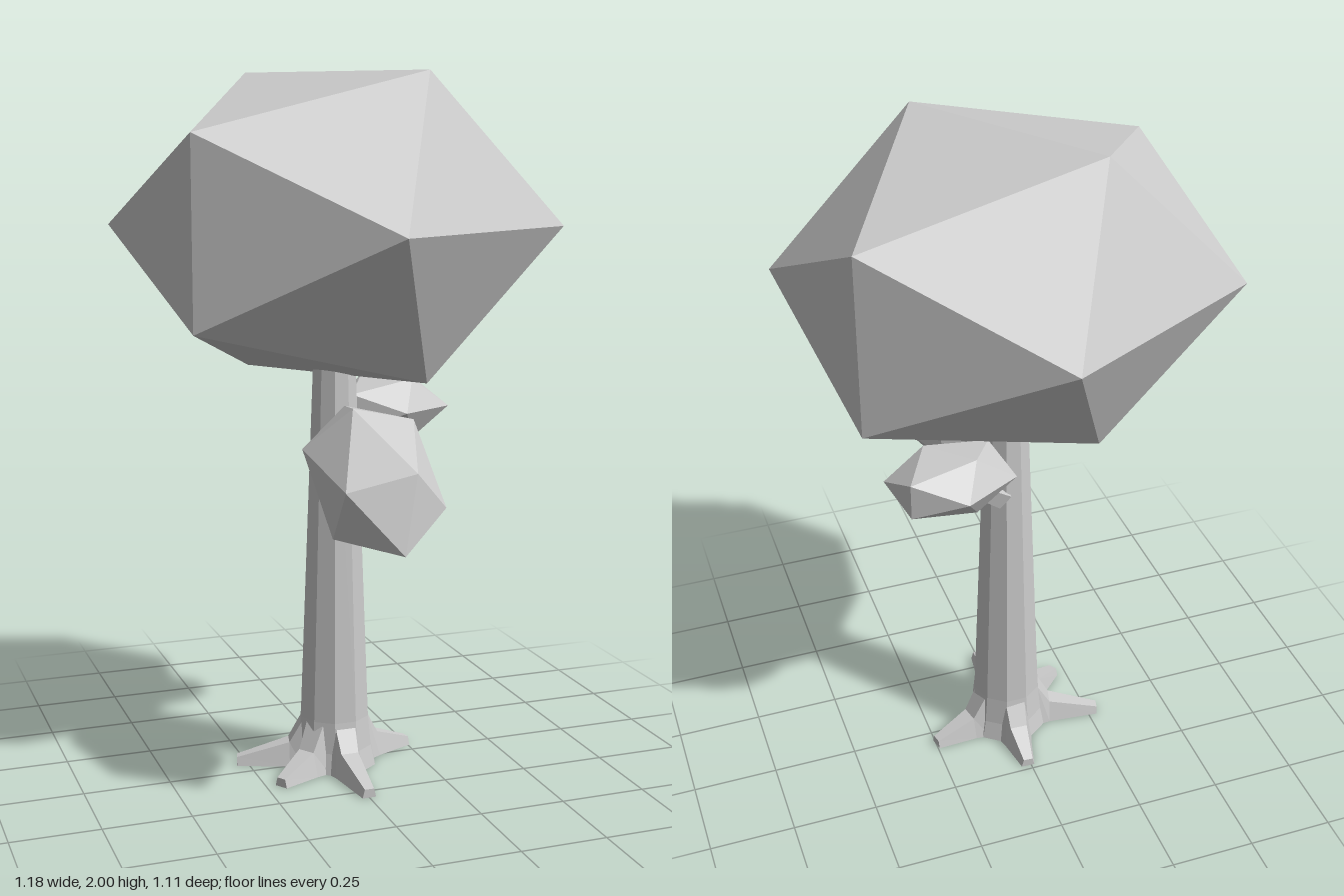
import * as THREE from 'three';
import { ConvexGeometry } from 'three/addons/geometries/ConvexGeometry.js';

const material = new THREE.MeshStandardMaterial({ color: 0xcccccc, flatShading: true });
const V = (x, y, z) => new THREE.Vector3(x, y, z);

// Icosahedron with its poles along z, so the scale runs along its own axes
function leafBall() {
  const points = [V(0, 0, 1), V(0, 0, -1)];
  const h = 1 / Math.sqrt(5);
  for (let k = 0; k < 5; k++) {
    const a = k * Math.PI * 0.4;
    const p = V(2 * h * Math.cos(a), 2 * h * Math.sin(a), h);
    points.push(p, p.clone().negate());
  }
  return new ConvexGeometry(points);
}

// Tapered square branch between two points
function branchGeometry(from, to, r0, r1) {
  const dir = to.clone().sub(from);
  const geo = new THREE.CylinderGeometry(r1, r0, dir.length(), 4, 1);
  geo.rotateY(Math.PI / 4);
  geo.applyQuaternion(new THREE.Quaternion().setFromUnitVectors(V(0, 1, 0), dir.normalize()));
  const mid = from.clone().add(to).multiplyScalar(0.5);
  return geo.translate(mid.x, mid.y, mid.z);
}

// Root along +z: trapezoid sections [distance, top height, half width at top, half width at ground]
function rootGeometry(length) {
  const sections = [
    [0.05, 0.17, 0.03, 0.06],
    [0.095, 0.14, 0.03, 0.055],
    [0.135, 0.07, 0.026, 0.042],
    [length, 0.025, 0.014, 0.02],
  ];
  const pos = [], index = [];
  for (const [z, y, top, base] of sections) {
    pos.push(-base, 0, z, base, 0, z, top, y, z, -top, y, z);
  }
  for (let s = 0; s < sections.length - 1; s++) {
    for (let k = 0; k < 4; k++) {
      const a = s * 4 + k, b = s * 4 + (k + 1) % 4;
      index.push(a, b, b + 4, a, b + 4, a + 4);
    }
  }
  const e = (sections.length - 1) * 4;
  index.push(e, e + 1, e + 2, e, e + 2, e + 3);
  const geo = new THREE.BufferGeometry();
  geo.setAttribute('position', new THREE.Float32BufferAttribute(pos, 3));
  geo.setIndex(index);
  geo.computeVertexNormals();
  return geo;
}

export function createModel() {
  const tree = new THREE.Group();
  tree.name = 'tree';
  const add = (name, geo) => {
    const mesh = new THREE.Mesh(geo, material);
    mesh.name = name;
    tree.add(mesh);
    return mesh;
  };

  // Ten-sided trunk with a flared foot
  const profile = [[0, 0], [0.125, 0], [0.112, 0.06], [0.103, 0.15], [0.063, 1.19], [0, 1.19]];
  add('trunk', new THREE.LatheGeometry(
    profile.map(([x, y]) => new THREE.Vector2(x, y)), 10, Math.PI / 10));

  // Roots, placed by their tips on the ground
  const tips = [[0, 0.295], [0.25, -0.055], [0.01, -0.235], [-0.28, -0.07], [-0.21, 0.14]];
  tips.forEach(([x, z], i) => {
    add('root' + (i + 1), rootGeometry(Math.hypot(x, z))).rotation.y = Math.atan2(x, z);
  });

  // Branches
  add('frontBranch', branchGeometry(V(0, 0.735, 0.05), V(0, 0.89, 0.22), 0.042, 0.028));
  add('sideBranch', branchGeometry(V(0.03, 0.9, -0.05), V(0.18, 1.02, -0.1), 0.036, 0.022));

  // Foliage
  const ball = leafBall();
  const canopy = add('canopy', ball);
  canopy.scale.set(0.657, 0.494, 0.553);
  canopy.position.set(0, 1.58, 0);

  const frontFoliage = add('frontFoliage', ball);
  frontFoliage.scale.set(0.188, 0.168, 0.282);
  frontFoliage.rotation.x = 0.602;
  frontFoliage.position.set(0, 0.922, 0.318);

  const sideFoliage = add('sideFoliage', ball);
  sideFoliage.scale.set(0.194, 0.103, 0.14);
  sideFoliage.rotation.y = 0.08;
  sideFoliage.position.set(0.2, 1.037, -0.106);

  return tree;
}
